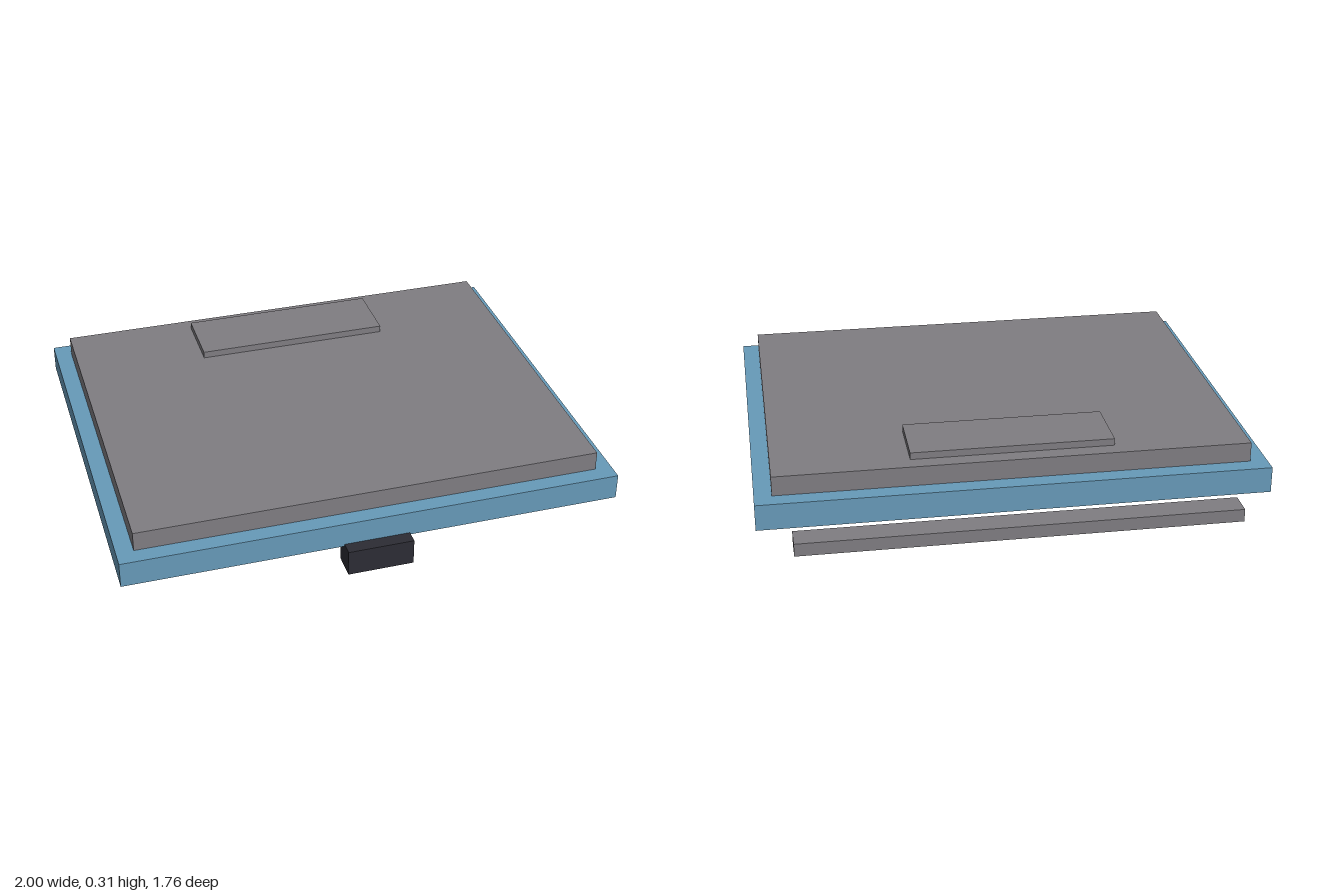
import * as THREE from 'three';

const material = (name, color) => {
  const m = new THREE.MeshStandardMaterial({ color });
  m.name = name;
  return m;
};

export function createModel() {
  const grey = material('warm grey', 0x7f7d82);
  const blue = material('blue', 0x679ab9);
  const dark = material('charcoal', 0x2c2c34);

  const model = new THREE.Group();
  model.name = 'flatPanel';

  // Adds a box given its extents along each axis
  const addBox = (name, mat, [x0, x1], [y0, y1], [z0, z1]) => {
    const mesh = new THREE.Mesh(new THREE.BoxGeometry(x1 - x0, y1 - y0, z1 - z0), mat);
    mesh.position.set((x0 + x1) / 2, (y0 + y1) / 2, (z0 + z1) / 2);
    mesh.name = name;
    model.add(mesh);
  };

  // Stacked slabs, from bottom to top
  addBox('basePad', dark, [-0.83, 0.83], [0.018, 0.073], [-0.597, 0.655]);
  addBox('lowerPlate', grey, [-0.91, 0.91], [0.073, 0.098], [-0.68, 0.733]);
  addBox('frameSlab', blue, [-1, 1], [0.098, 0.203], [-0.775, 0.825]);
  addBox('topPanel', grey, [-0.932, 0.932], [0.203, 0.282], [-0.705, 0.758]);
  addBox('raisedPlate', grey, [-0.4, 0.4], [0.282, 0.31], [-0.64, -0.378]);

  // Feet under the front corners
  addBox('leftFoot', grey, [0.64, 0.96], [0.046, 0.098], [0.457, 0.67]);
  addBox('rightFoot', grey, [-0.96, -0.64], [0.046, 0.098], [0.457, 0.67]);

  // Front latch and separate rear bar
  addBox('frontLatch', dark, [-0.132, 0.132], [0, 0.107], [0.775, 0.878]);
  addBox('rearBar', grey, [-0.865, 0.865], [0.033, 0.085], [-0.878, -0.775]);

  return model;
}
